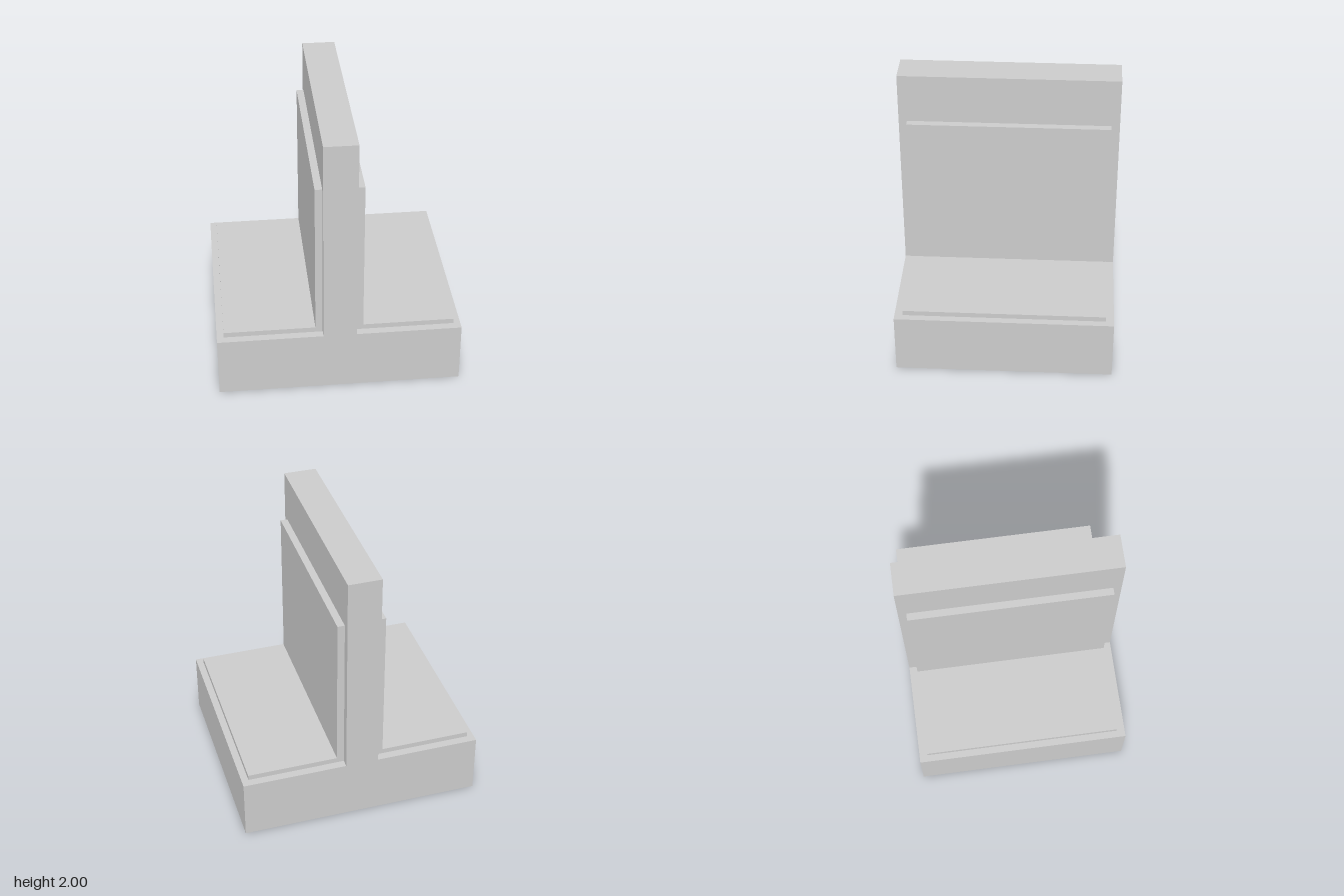
import * as THREE from 'three';

const material = new THREE.MeshStandardMaterial({ color: 0xcccccc });

// Box given by its x, y and z ranges
function block(name, [x0, x1], [y0, y1], [z0, z1]) {
  const mesh = new THREE.Mesh(new THREE.BoxGeometry(x1 - x0, y1 - y0, z1 - z0), material);
  mesh.position.set((x0 + x1) / 2, (y0 + y1) / 2, (z0 + z1) / 2);
  mesh.name = name;
  return mesh;
}

export function createModel() {
  const model = new THREE.Group();
  model.name = 'doubleSidedBench';

  const baseHalf = 0.877, wallHalf = 0.12, baseTop = 0.45, height = 2;
  const halfDepth = 0.782, padHalfDepth = 0.723;
  const backFace = 0.172, backTop = 1.64, seatEdge = 0.827, seatTop = 0.488;

  // Base and central wall: one inverted T profile
  const profile = new THREE.Shape([
    [-baseHalf, 0], [baseHalf, 0], [baseHalf, baseTop], [wallHalf, baseTop],
    [wallHalf, height], [-wallHalf, height], [-wallHalf, baseTop], [-baseHalf, baseTop],
  ].map(([x, y]) => new THREE.Vector2(x, y)));
  const frameGeometry = new THREE.ExtrudeGeometry(profile, { depth: 2 * halfDepth, bevelEnabled: false });
  frameGeometry.translate(0, 0, -halfDepth);
  const frame = new THREE.Mesh(frameGeometry, material);
  frame.name = 'frame';
  model.add(frame);

  // Seat and backrest pads on both sides of the wall
  const padZ = [-padHalfDepth, padHalfDepth];
  for (const [side, s] of [['left', 1], ['right', -1]]) {
    const span = (a, b) => (s > 0 ? [a, b] : [-b, -a]);
    model.add(
      block(side + 'Backrest', span(wallHalf, backFace), [baseTop, backTop], padZ),
      block(side + 'Seat', span(backFace, seatEdge), [baseTop, seatTop], padZ),
    );
  }
  return model;
}
